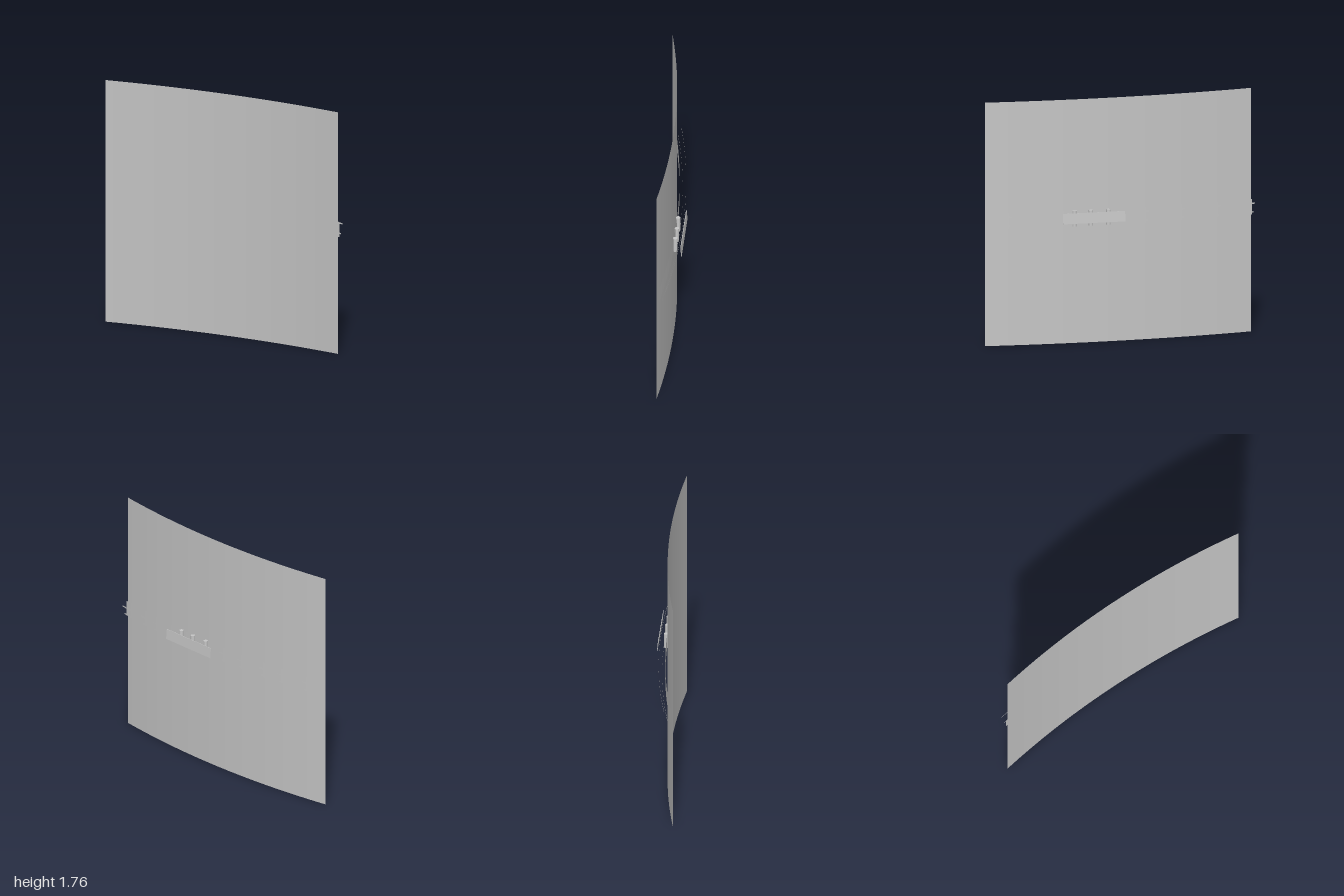
import * as THREE from 'three';

// Shallow arc followed by the wall, the band and the rails
const arcZ = (x) => -0.076 + (x + 0.65) ** 2 / 12.35;

export function createModel() {
  const group = new THREE.Group();
  const grey = new THREE.MeshStandardMaterial({
    color: 0xc6c6c6, flatShading: true, side: THREE.DoubleSide,
  });
  grey.name = 'light grey';

  const add = (name, geometry, x = 0, y = 0, z = 0) => {
    const mesh = new THREE.Mesh(geometry, grey);
    mesh.name = name;
    mesh.position.set(x, y, z);
    group.add(mesh);
    return mesh;
  };

  // Upright curved sheet between two heights, set back behind the arc
  const ribbon = (name, y0, y1, setBack) => {
    const geometry = new THREE.PlaneGeometry(2, y1 - y0, 36, 1);
    const p = geometry.attributes.position;
    for (let i = 0; i < p.count; i++) p.setZ(i, arcZ(p.getX(i)) - setBack);
    geometry.computeVertexNormals();
    add(name, geometry, 0, (y0 + y1) / 2);
  };

  ribbon('curvedWall', 0, 1.765, 0);
  ribbon('backBand', 0.85, 0.962, 0.017);
  ribbon('upperRail', 0.935, 0.945, 0.064);
  ribbon('lowerRail', 0.867, 0.877, 0.04);

  // Three upright pins between the band and the plate
  for (const [x, z] of [[0.12, -0.053], [0.25, -0.038], [0.37, -0.021]]) {
    add('pin', new THREE.CylinderGeometry(0.016, 0.016, 0.112, 16), x, 0.906, z);
  }

  // Flat plate outside the rails, leaning slightly
  const plate = add('backPlate', new THREE.BoxGeometry(0.465, 0.075, 0.004), 0.248, 0.914, -0.088);
  plate.rotation.set(0.09, -0.137, 0, 'YXZ');

  return group;
}
